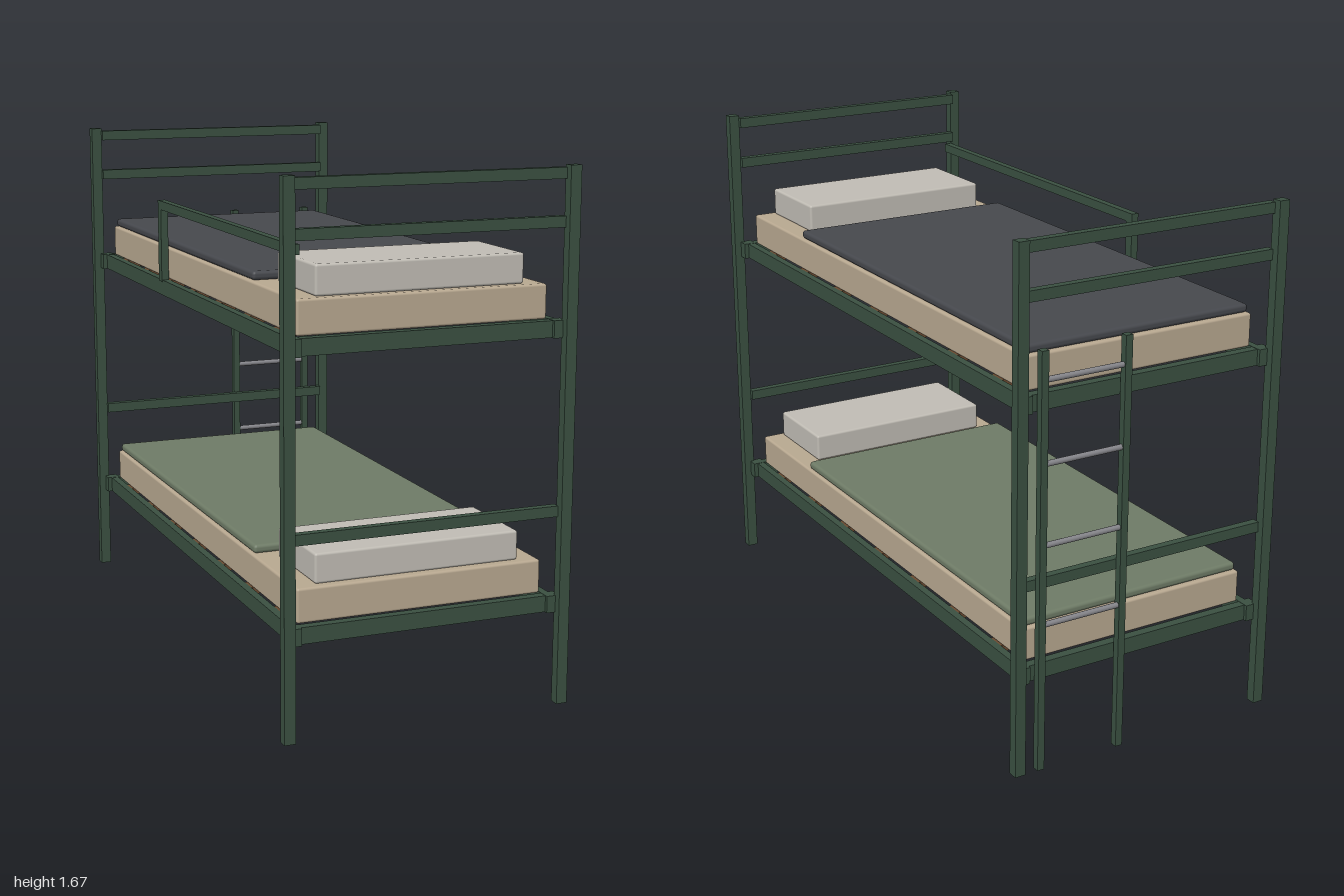
import * as THREE from 'three';
import { RoundedBoxGeometry } from 'three/addons/geometries/RoundedBoxGeometry.js';

const mat = (color) => new THREE.MeshStandardMaterial({ color });

export function createModel() {
  const bed = new THREE.Group();
  bed.name = 'bunkBed';
  const green = mat(0x3a5041), tan = mat(0xb8a890), linen = mat(0xc0bcb4);
  const charcoal = mat(0x46484d), sage = mat(0x6e7b66), wood = mat(0x6b4a30), steel = mat(0x85858a);

  // Box given by its lower and upper limits on each axis; r rounds the edges
  function box(name, parent, material, [x0, x1], [y0, y1], [z0, z1], r = 0) {
    const size = [x1 - x0, y1 - y0, z1 - z0];
    const geo = r ? new RoundedBoxGeometry(...size, 2, r) : new THREE.BoxGeometry(...size);
    const mesh = new THREE.Mesh(geo, material);
    mesh.name = name;
    mesh.position.set((x0 + x1) / 2, (y0 + y1) / 2, (z0 + z1) / 2);
    parent.add(mesh);
    return mesh;
  }
  const span = (s, a, b) => (s > 0 ? [a, b] : [-b, -a]);

  // Corner posts and the cross rails of both ends
  for (const sz of [1, -1]) {
    for (const sx of [1, -1]) {
      box('post', bed, green, span(sx, 0.435, 0.471), [0, 1.672], span(sz, 0.967, 1));
    }
    for (const y of [0.615, 1.503, 1.647]) {
      box('endRail', bed, green, [-0.436, 0.436], [y - 0.017, y + 0.017], span(sz, 0.951, 0.977));
    }
  }

  // One bunk: frame, corner brackets, slats and bedding
  function bunk(name, y, blanketMaterial) {
    const g = new THREE.Group();
    g.name = name;
    g.position.y = y;
    for (const s of [1, -1]) {
      box('sideRail', g, green, span(s, 0.408, 0.433), [0, 0.052], [-0.935, 0.935]);
      box('footRail', g, green, [-0.408, 0.408], [0, 0.052], span(s, 0.935, 0.965));
      for (const sx of [1, -1]) {
        box('cornerBracket', g, green, span(sx, 0.406, 0.448), [-0.001, 0.053], span(s, 0.933, 0.976));
      }
    }
    for (let i = 0; i < 7; i++) {
      const z = -0.78 + i * 0.26;
      box('slat', g, wood, [-0.41, 0.41], [0.03, 0.052], [z - 0.03, z + 0.03]);
    }
    box('mattress', g, tan, [-0.404, 0.404], [0.051, 0.159], [-0.93, 0.93], 0.008);
    box('blanket', g, blanketMaterial, [-0.397, 0.397], [0.159, 0.187], [-0.92, 0.55], 0.011);
    box('pillow', g, linen, [-0.337, 0.337], [0.159, 0.253], [0.602, 0.906], 0.008);
    bed.add(g);
  }
  bunk('lowerBunk', 0.293, sage);
  bunk('upperBunk', 1.154, charcoal);

  // Guard rail along the right side of the upper bunk
  const guard = new THREE.Group();
  guard.name = 'guardRail';
  box('guardBar', guard, green, [-0.435, -0.41], [1.446, 1.476], [-0.28, 0.968]);
  box('guardUpright', guard, green, [-0.435, -0.41], [1.2, 1.446], [-0.28, -0.247]);
  bed.add(guard);

  // Ladder on the back end, with round steel rungs
  const ladder = new THREE.Group();
  ladder.name = 'ladder';
  for (const x of [0.094, 0.38]) {
    box('ladderPost', ladder, green, [x - 0.012, x + 0.012], [0, 1.345], [-1, -0.976]);
  }
  for (let i = 0; i < 4; i++) {
    const rung = new THREE.Mesh(new THREE.CylinderGeometry(0.009, 0.009, 0.28, 12), steel);
    rung.name = 'rung';
    rung.rotation.z = Math.PI / 2;
    rung.position.set(0.237, 0.483 + i * 0.257, -0.988);
    ladder.add(rung);
  }
  bed.add(ladder);
  return bed;
}
